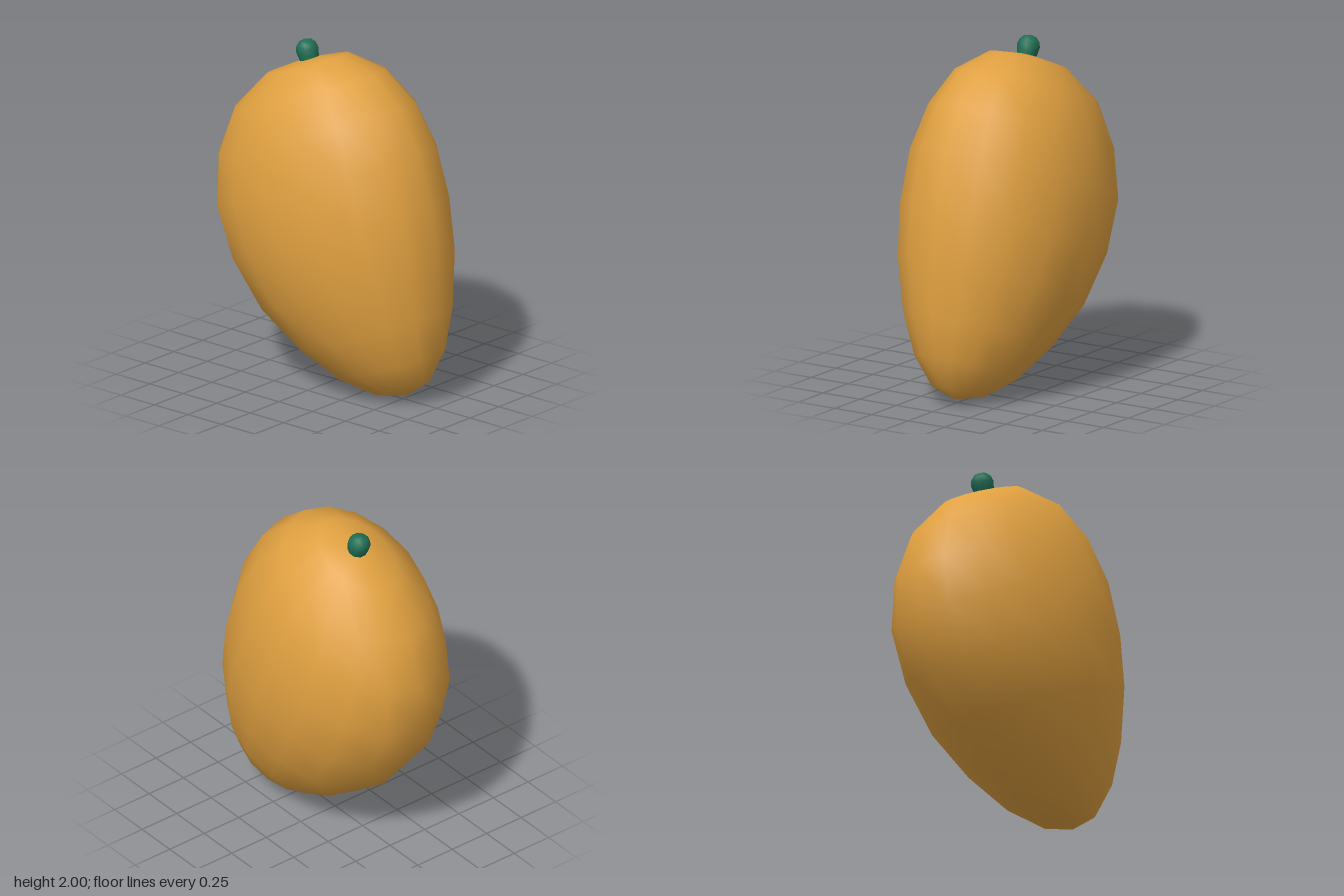
import * as THREE from 'three';

const SEGMENTS = 16;

// Tilted elliptical rings, top to bottom: left x, left y, right x, right y, half depth
const RINGS = [
  [-0.47, 1.76, 0.04, 1.96, 0.20],
  [-0.67, 1.53, 0.28, 1.90, 0.37],
  [-0.77, 1.24, 0.48, 1.74, 0.475],
  [-0.765, 0.94, 0.62, 1.50, 0.54],
  [-0.64, 0.65, 0.71, 1.20, 0.545],
  [-0.43, 0.39, 0.755, 0.90, 0.50],
  [-0.17, 0.20, 0.765, 0.57, 0.40],
  [0.10, 0.06, 0.74, 0.32, 0.275],
  [0.34, 0.005, 0.66, 0.13, 0.14],
];
const TOP = [-0.21, 1.895, 0];
const BOTTOM = [0.53, 0.03, 0];

// Skin lofted through the rings and closed at both poles
function fruitGeometry() {
  const positions = [...TOP];
  const index = [];
  for (const [lx, ly, rx, ry, depth] of RINGS) {
    for (let i = 0; i < SEGMENTS; i++) {
      const a = (i / SEGMENTS) * Math.PI * 2;
      const t = (1 + Math.cos(a)) / 2;
      positions.push(lx + (rx - lx) * t, ly + (ry - ly) * t, Math.sin(a) * depth);
    }
  }
  positions.push(...BOTTOM);
  const last = positions.length / 3 - 1;
  const at = (ring, i) => 1 + ring * SEGMENTS + (i % SEGMENTS);
  for (let i = 0; i < SEGMENTS; i++) {
    index.push(0, at(0, i + 1), at(0, i));
    for (let r = 0; r < RINGS.length - 1; r++) {
      index.push(at(r, i), at(r, i + 1), at(r + 1, i));
      index.push(at(r, i + 1), at(r + 1, i + 1), at(r + 1, i));
    }
    index.push(at(RINGS.length - 1, i), at(RINGS.length - 1, i + 1), last);
  }
  const geometry = new THREE.BufferGeometry();
  geometry.setAttribute('position', new THREE.Float32BufferAttribute(positions, 3));
  geometry.setIndex(index);
  geometry.computeVertexNormals();
  return geometry;
}

export function createModel() {
  const group = new THREE.Group();
  const skin = new THREE.MeshStandardMaterial({ name: 'orange skin', color: 0xe0a040 });
  const green = new THREE.MeshStandardMaterial({ name: 'green stem', color: 0x1f6e54 });

  const fruit = new THREE.Mesh(fruitGeometry(), skin);
  fruit.name = 'fruit';

  // Short rounded stem, leaning away from the fruit's tip
  const profile = [[0.05, -0.09], [0.06, -0.03], [0.066, 0.005], [0.057, 0.035], [0.035, 0.058], [0, 0.066]];
  const stem = new THREE.Mesh(
    new THREE.LatheGeometry(profile.map(([r, y]) => new THREE.Vector2(r, y)), 10), green);
  stem.name = 'stem';
  stem.position.set(-0.217, 1.937, 0);
  stem.rotation.z = 0.33;

  group.add(fruit, stem);
  return group;
}
